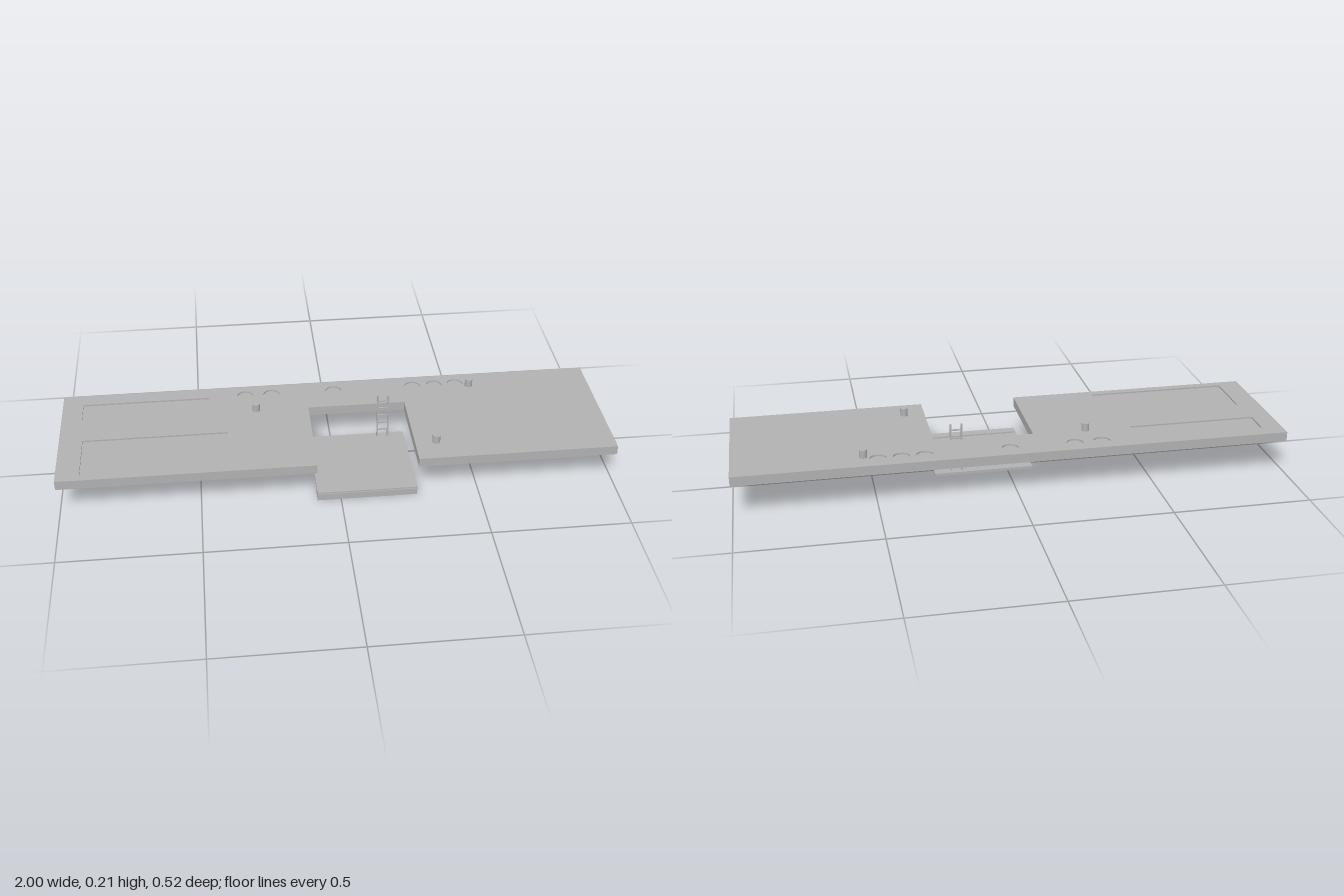
import * as THREE from 'three';

const DECK_BOTTOM = 0.125, RECESS_FLOOR = 0.154, DECK_TOP = 0.16;
const HALF_DEPTH = 0.262;

export function createModel() {
  const model = new THREE.Group();
  const grey = new THREE.MeshStandardMaterial({ color: 0xb2b2b2 });
  grey.name = 'plain grey';

  function add(name, geometry, parent = model) {
    const mesh = new THREE.Mesh(geometry, grey);
    mesh.name = name;
    parent.add(mesh);
    return mesh;
  }

  // Box given by its limits on each axis
  function box(name, x0, x1, y0, y1, z0, z1, parent) {
    const mesh = add(name, new THREE.BoxGeometry(x1 - x0, y1 - y0, z1 - z0), parent);
    mesh.position.set((x0 + x1) / 2, (y0 + y1) / 2, (z0 + z1) / 2);
    return mesh;
  }

  // Plan outlines are drawn as (x, z) and laid flat
  const outline = (Type, points) => new Type(points.map(([x, z]) => new THREE.Vector2(x, -z)));

  function deckLayer(name, y0, y1, holes) {
    const shape = outline(THREE.Shape, [
      [-1, HALF_DEPTH], [-0.085, HALF_DEPTH], [-0.085, -0.098], [0.278, -0.098],
      [0.278, HALF_DEPTH], [1, HALF_DEPTH], [1, -HALF_DEPTH], [-1, -HALF_DEPTH],
    ]);
    shape.holes = holes;
    const geometry = new THREE.ExtrudeGeometry(shape, { depth: y1 - y0, bevelEnabled: false, curveSegments: 24 });
    geometry.rotateX(-Math.PI / 2).translate(0, y0, 0);
    add(name, geometry);
  }

  // Shallow recesses: two rectangles and a row of discs along the back
  const recesses = [
    [-0.925, -0.45, -0.202, -0.1],
    [-0.916, -0.393, 0.028, 0.232],
  ].map(([x0, x1, z0, z1]) => outline(THREE.Path, [[x0, z0], [x1, z0], [x1, z1], [x0, z1]]));
  for (const x of [-0.317, -0.217, 0.02, 0.325, 0.408, 0.49]) {
    recesses.push(new THREE.Path().absarc(x, 0.202, 0.03, 0, Math.PI * 2, true));
  }

  // Upper deck with a notch in its front edge
  deckLayer('deckBase', DECK_BOTTOM, RECESS_FLOOR, []);
  deckLayer('deckSurface', RECESS_FLOOR, DECK_TOP, recesses);

  // Short posts standing on the deck
  for (const [x, z] of [[-0.28, -0.102], [0.355, 0.165], [0.54, -0.184]]) {
    add('post', new THREE.CylinderGeometry(0.014, 0.014, 0.03, 32)).position.set(x, DECK_TOP + 0.015, z);
  }

  // Lower platform with a beam along its front
  box('lowerPlatform', -0.085, 0.276, 0.018, 0.028, -0.092, HALF_DEPTH);
  box('frontBeam', -0.085, 0.276, 0, 0.033, 0.222, 0.259);

  // Ladder from the platform up past the deck
  const ladder = new THREE.Group();
  ladder.name = 'ladder';
  model.add(ladder);
  for (const x of [0.171, 0.211]) box('ladderRail', x, x + 0.006, 0.027, 0.211, -0.076, -0.07, ladder);
  for (let i = 0; i < 5; i++) {
    const y = 0.057 + i * 0.032;
    box('ladderRung', 0.175, 0.213, y, y + 0.005, -0.0755, -0.0705, ladder);
  }
  return model;
}
